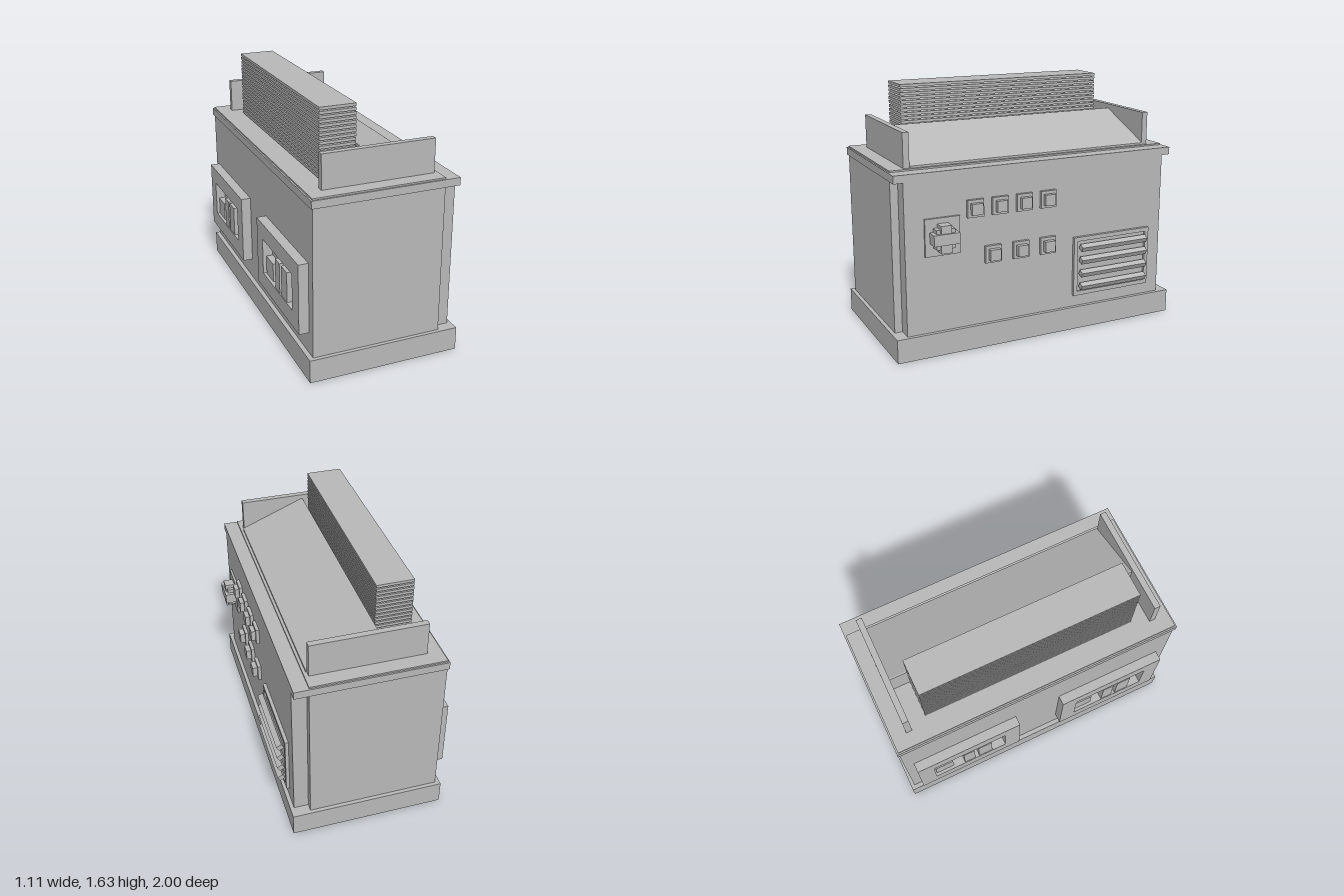
import * as THREE from 'three';

export function createModel() {
  const model = new THREE.Group();
  model.name = 'controlCabinet';
  const grey = new THREE.MeshStandardMaterial({ color: 0xb8b8b8 });
  grey.name = 'grey';

  // Box given by its extents on each axis
  const box = (name, x0, x1, y0, y1, z0, z1, parent = model) => {
    const mesh = new THREE.Mesh(new THREE.BoxGeometry(x1 - x0, y1 - y0, z1 - z0), grey);
    mesh.position.set((x0 + x1) / 2, (y0 + y1) / 2, (z0 + z1) / 2);
    mesh.name = name;
    parent.add(mesh);
    return mesh;
  };
  const group = (name) => {
    const g = new THREE.Group();
    g.name = name;
    model.add(g);
    return g;
  };
  // Rectangular frame standing in the YZ plane
  const frame = (name, x0, x1, y0, y1, z0, z1, b, parent) => {
    box(name + 'Top', x0, x1, y1 - b, y1, z0, z1, parent);
    box(name + 'Bottom', x0, x1, y0, y0 + b, z0, z1, parent);
    box(name + 'SideA', x0, x1, y0 + b, y1 - b, z0, z0 + b, parent);
    box(name + 'SideB', x0, x1, y0 + b, y1 - b, z1 - b, z1, parent);
  };

  // Cabinet
  box('base', -0.52, 0.485, 0, 0.155, -1, 1);
  box('body', -0.49, 0.365, 0.155, 1.13, -0.975, 0.975);
  box('controlPanel', 0.365, 0.46, 0.155, 1.13, -0.925, 0.925);
  box('rim', -0.5, 0.46, 1.13, 1.18, -0.985, 0.985);
  box('topPlate', -0.49, 0.365, 1.18, 1.19, -0.975, 0.975);

  // Upright end walls
  for (const s of [-1, 1]) {
    box('endWall', -0.395, 0.34, 1.19, 1.41, s * 0.858 - 0.02, s * 0.858 + 0.02);
  }

  // Sloped desk between the walls
  const profile = new THREE.Shape([
    [-0.1, 1.19], [0.347, 1.19], [0.347, 1.203], [-0.09, 1.38], [-0.1, 1.38],
  ].map(([x, y]) => new THREE.Vector2(x, y)));
  const desk = new THREE.Mesh(
    new THREE.ExtrudeGeometry(profile, { depth: 1.676, bevelEnabled: false }), grey);
  desk.position.z = -0.838;
  desk.name = 'slopedDesk';
  model.add(desk);

  // Stack of thin slabs
  const stack = group('slabStack');
  for (let i = 0; i < 17; i++) {
    const y = 1.635 - i * 0.0262;
    box('slab', -0.345, -0.11, y - 0.018, y, -0.727, 0.727, stack);
  }

  // Rotary switch
  const rotary = group('rotarySwitch');
  box('switchPlate', 0.46, 0.475, 0.655, 0.895, 0.57, 0.8, rotary);
  box('switchHub', 0.475, 0.53, 0.71, 0.835, 0.625, 0.747, rotary);
  box('switchUpright', 0.475, 0.54, 0.685, 0.86, 0.65, 0.72, rotary);
  box('switchGrip', 0.475, 0.55, 0.74, 0.81, 0.6, 0.77, rotary);

  // Push buttons in two rows
  const buttons = group('buttons');
  const button = (y, z, depth) => {
    box('buttonPlate', 0.46, 0.482, y - 0.056, y + 0.056, z - 0.055, z + 0.055, buttons);
    box('buttonCap', 0.482, depth, y - 0.036, y + 0.036, z - 0.036, z + 0.036, buttons);
  };
  [0.465, 0.295, 0.125, -0.045].forEach((z) => button(0.927, z, 0.51));
  [0.345, 0.15, -0.045].forEach((z) => button(0.617, z, 0.514));

  // Louvred vent
  const vent = group('vent');
  box('ventBack', 0.46, 0.467, 0.235, 0.64, -0.825, -0.24, vent);
  frame('ventFrame', 0.46, 0.482, 0.235, 0.64, -0.825, -0.24, 0.028, vent);
  for (const y of [0.572, 0.485, 0.394, 0.304]) {
    const slat = box('louvre', 0.485, 0.523, y - 0.018, y + 0.018, -0.787, -0.278, vent);
    slat.rotation.z = -0.5;
  }

  // Framed switch boxes on the far side
  for (const z of [-0.915, 0.16]) {
    const unit = group('switchBox');
    frame('boxFrame', -0.555, -0.49, 0.295, 0.76, z, z + 0.75, 0.11, unit);
    box('lowSwitch', -0.535, -0.49, 0.405, 0.53, z + 0.12, z + 0.25, unit);
    box('tallSwitch', -0.55, -0.49, 0.405, 0.61, z + 0.33, z + 0.41, unit);
    box('tallSwitch', -0.55, -0.49, 0.405, 0.61, z + 0.44, z + 0.54, unit);
  }

  return model;
}
